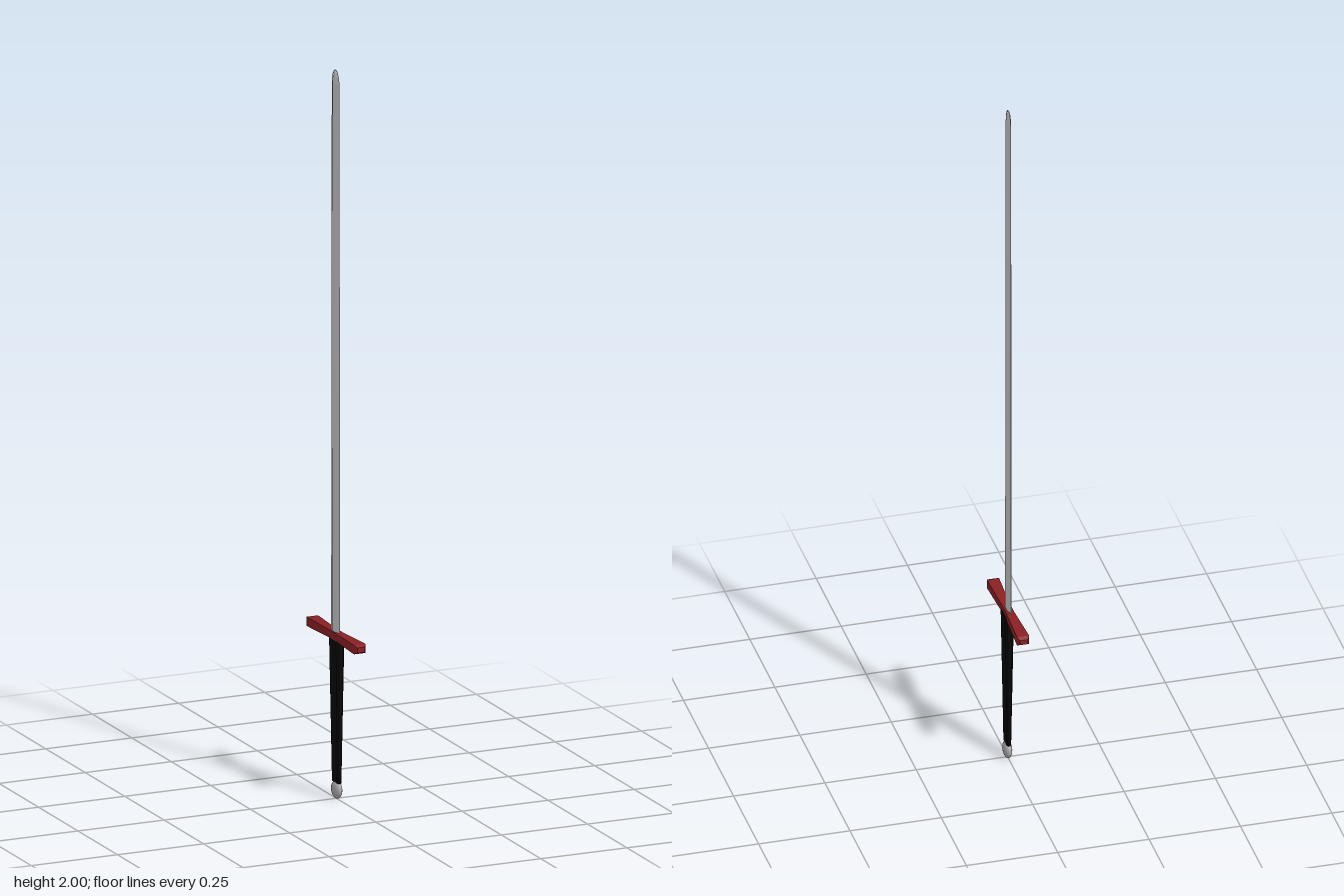
import * as THREE from 'three';

// Joins equal-length rings of [x, y, z] points into a capped, flat-shaded solid.
// Rings run counter-clockwise as seen from the far end of the loft.
function loft(rings) {
  const n = rings[0].length, index = [];
  for (let r = 0; r < rings.length - 1; r++) {
    for (let i = 0; i < n; i++) {
      const a = r * n + i, b = r * n + (i + 1) % n;
      index.push(a, b, b + n, a, b + n, a + n);
    }
  }
  const last = (rings.length - 1) * n;
  for (let i = 1; i < n - 1; i++) {
    index.push(0, i + 1, i, last, last + i, last + i + 1);
  }
  const indexed = new THREE.BufferGeometry();
  indexed.setAttribute('position', new THREE.Float32BufferAttribute(rings.flat(2), 3));
  indexed.setIndex(index);
  const geometry = indexed.toNonIndexed();
  geometry.computeVertexNormals();
  return geometry;
}

function part(name, geometry, color, flatShading = true) {
  const mesh = new THREE.Mesh(geometry, new THREE.MeshStandardMaterial({ color, flatShading }));
  mesh.name = name;
  return mesh;
}

export function createModel() {
  const sword = new THREE.Group();
  sword.name = 'sword';

  // Blade: flattened hexagon section, slow taper, blunt round tip [y, half width, half thickness]
  const blade = [
    [0.44, 0.0285, 0.0065], [1.2, 0.0265, 0.006], [1.965, 0.0245, 0.0055],
    [1.982, 0.021, 0.0045], [1.994, 0.014, 0.0035], [2.0, 0.006, 0.002],
  ].map(([y, w, t]) => {
    const f = w * 0.3;
    return [[0, w], [t, f], [t, -f], [0, -w], [-t, -f], [-t, f]].map(([x, z]) => [x - 0.002, y, z]);
  });
  sword.add(part('blade', loft(blade), 0xcccccc));

  // Crossguard: four-sided bar along z, flaring to bevelled ends [z, half depth, half height]
  const half = [[0.16, 0.011, 0.007], [0.15, 0.0165, 0.0125], [0.14, 0.0162, 0.0125], [0.02, 0.0112, 0.0105]];
  const stations = [...half.map(([z, d, h]) => [-z, d, h]), ...half.slice().reverse()];
  const guard = stations.map(([z, d, h]) =>
    [[d, -h], [d, h], [-d, h], [-d, -h]].map(([x, y]) => [x - 0.001, y + 0.449, z]));
  sword.add(part('crossguard', loft(guard), 0x8b2023));

  // Grip: chamfered bar widening towards the guard [y, half width, half thickness]
  const grip = [[0.045, 0.021, 0.006], [0.25, 0.0245, 0.009], [0.445, 0.028, 0.012]].map(([y, w, t]) => {
    const c = w * 0.8, s = t * 0.55;
    return [[t, c], [t, -c], [s, -w], [-s, -w], [-t, -c], [-t, c], [-s, w], [s, w]]
      .map(([x, z]) => [x + 0.001, y, z]);
  });
  sword.add(part('grip', loft(grip), 0x080808));

  // Pommel: flattened ball
  const ball = new THREE.SphereGeometry(1, 16, 10);
  ball.scale(0.012, 0.025, 0.025);
  const pommel = part('pommel', ball, 0xaaaaaa, false);
  pommel.position.set(0.001, 0.025, 0);
  sword.add(pommel);

  return sword;
}
